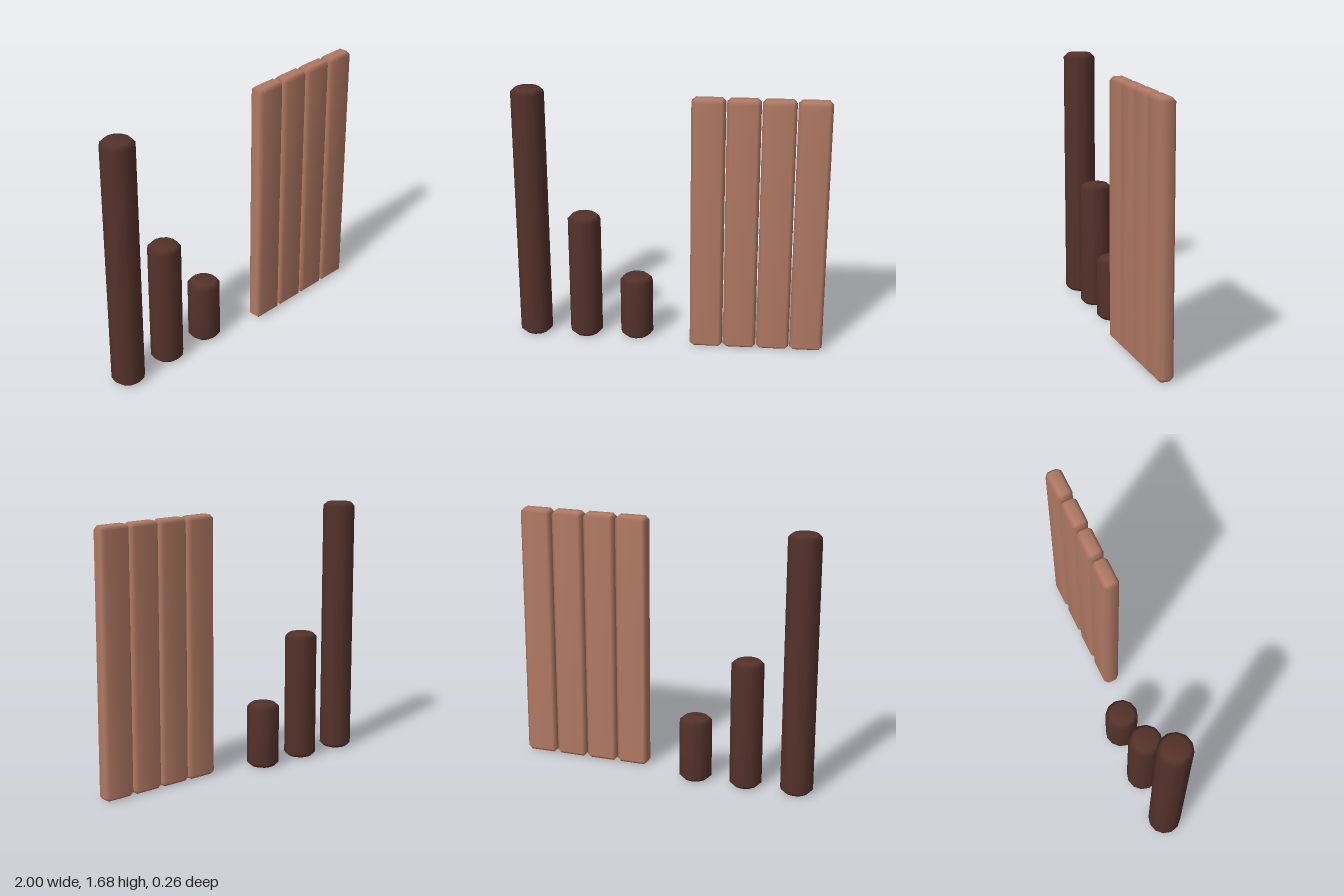
import * as THREE from 'three';
import { ConvexGeometry } from 'three/addons/geometries/ConvexGeometry.js';
import { mergeVertices } from 'three/addons/utils/BufferGeometryUtils.js';

const darkWood = new THREE.MeshStandardMaterial({ color: 0x54322a });
const lightWood = new THREE.MeshStandardMaterial({ color: 0xb27a64 });

// Upright post with bevelled ends, standing on y = 0
function post(radius, height, bevel) {
  const profile = [
    [0, 0], [radius - bevel, 0], [radius, bevel],
    [radius, height - bevel], [radius - bevel, height], [0, height],
  ].map(([r, y]) => new THREE.Vector2(r, y));
  return new THREE.LatheGeometry(profile, 12);
}

// Box with every edge chamfered and softly shaded, standing on y = 0
function plank(width, height, depth, bevel) {
  const points = [];
  const half = [width / 2, height / 2, depth / 2];
  for (const sx of [-1, 1]) for (const sy of [-1, 1]) for (const sz of [-1, 1]) {
    for (let full = 0; full < 3; full++) {
      const p = half.map((h, axis) => (axis === full ? h : h - bevel));
      points.push(new THREE.Vector3(sx * p[0], sy * p[1] + height / 2, sz * p[2]));
    }
  }
  let geometry = new ConvexGeometry(points);
  geometry.deleteAttribute('normal');
  geometry = mergeVertices(geometry, 1e-4);
  geometry.computeVertexNormals();
  return geometry;
}

export function createModel() {
  const model = new THREE.Group();
  const add = (name, geometry, material, x, z) => {
    const mesh = new THREE.Mesh(geometry, material);
    mesh.name = name;
    mesh.position.set(x, 0, z);
    model.add(mesh);
  };

  // Three posts, each half the height of the one before
  ['tallPost', 'mediumPost', 'shortPost'].forEach((name, i) => {
    add(name, post(0.107, 1.685 / 2 ** i, 0.027), darkWood, -0.893 + i * 0.337, -0.025);
  });

  // Row of four wall planks
  const board = plank(0.21, 1.685, 0.105, 0.024);
  for (let i = 0; i < 4; i++) {
    add(`plank${i + 1}`, board, lightWood, 0.246 + i * 0.2163, 0.079);
  }
  return model;
}
